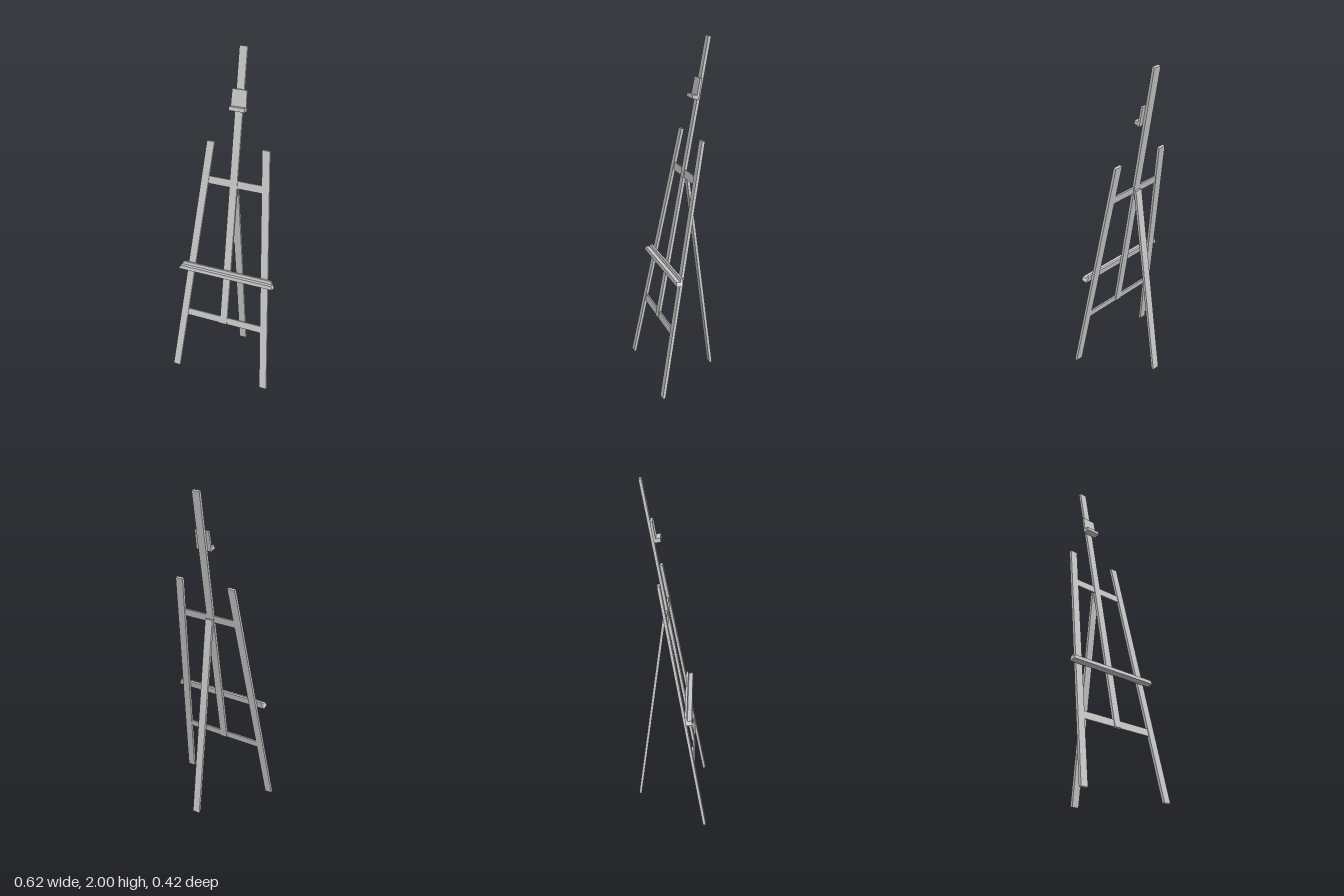
import * as THREE from 'three';

const LEAN = Math.atan(0.185);      // backward lean of the front frame
const CX = 0.003;                   // centre line of the mast
const T = 0.0165;                   // timber thickness
const material = new THREE.MeshStandardMaterial({ color: 0xcccccc, flatShading: true });

// Height above the ground converted to distance along the leaning frame
const along = (y) => (y - 0.003) / Math.cos(LEAN);

function addMesh(parent, name, geometry) {
  const mesh = new THREE.Mesh(geometry, material);
  mesh.name = name;
  parent.add(mesh);
  return mesh;
}

// Board in the frame plane: x-ranges at the bottom and top, front face at z = front
function board(y0, [a0, b0], y1, [a1, b1], front = 0, depth = T) {
  const v0 = along(y0), v1 = along(y1);
  const shape = new THREE.Shape([
    new THREE.Vector2(a0, v0), new THREE.Vector2(b0, v0),
    new THREE.Vector2(b1, v1), new THREE.Vector2(a1, v1),
  ]);
  return new THREE.ExtrudeGeometry(shape, { depth, bevelEnabled: false })
    .translate(0, 0, front - depth);
}

// L-shaped ledge (back plate plus shelf) whose ends taper in towards the top
function ledge(height, halfBottom, halfTop) {
  const plate = 0.013, shelf = 0.038, thick = 0.022;
  const profile = new THREE.Shape([
    [0, 0], [shelf, 0], [shelf, thick], [plate, thick], [plate, height], [0, height],
  ].map(([n, v]) => new THREE.Vector2(n, v)));
  const geometry = new THREE.ExtrudeGeometry(profile, { depth: 2, bevelEnabled: false });
  geometry.translate(0, 0, -1).rotateY(-Math.PI / 2);   // profile x -> z, length -> x
  const p = geometry.attributes.position;
  for (let i = 0; i < p.count; i++) {
    const half = THREE.MathUtils.lerp(halfBottom, halfTop, p.getY(i) / height);
    p.setX(i, p.getX(i) * half);
  }
  geometry.computeVertexNormals();
  return geometry;
}

export function createModel() {
  const model = new THREE.Group();
  model.name = 'easel';

  // Leaning front frame
  const frame = new THREE.Group();
  frame.name = 'frontFrame';
  frame.position.set(0, 0.003, 0.2095);
  frame.rotation.x = -LEAN;
  model.add(frame);

  addMesh(frame, 'rightLeg', board(0.003, [-0.312, -0.268], 1.47, [-0.172, -0.127]));
  addMesh(frame, 'leftLeg', board(0.003, [0.267, 0.312], 1.47, [0.154, 0.199]));
  addMesh(frame, 'mast', board(0.37, [CX - 0.0225, CX + 0.0225], 2, [CX - 0.0225, CX + 0.0225]));

  // Thinner crossbars set between the faces of the legs
  addMesh(frame, 'lowerCrossbar', board(0.37, [-0.25, 0.255], 0.413, [-0.25, 0.255], -0.004, 0.009));
  addMesh(frame, 'upperCrossbar', board(1.226, [-0.165, 0.19], 1.27, [-0.165, 0.19], -0.004, 0.009));

  // Canvas tray and the small top clamp
  const tray = addMesh(frame, 'canvasTray', ledge(0.041, 0.295, 0.276));
  tray.position.set(0.004, along(0.684), 0);
  const clamp = addMesh(frame, 'topClamp', ledge(0.115, 0.0455, 0.0425));
  clamp.position.set(0.004, along(1.664), 0);

  // Rear leg, hinged behind the upper crossbar
  const foot = new THREE.Vector3(CX, 0.001, -0.2035);
  const hinge = new THREE.Vector3(CX, 1.246, -0.0445);
  const rear = addMesh(model, 'rearLeg', new THREE.BoxGeometry(0.045, foot.distanceTo(hinge), T));
  rear.position.lerpVectors(foot, hinge, 0.5);
  rear.rotation.x = Math.atan2(hinge.z - foot.z, hinge.y - foot.y);

  return model;
}
